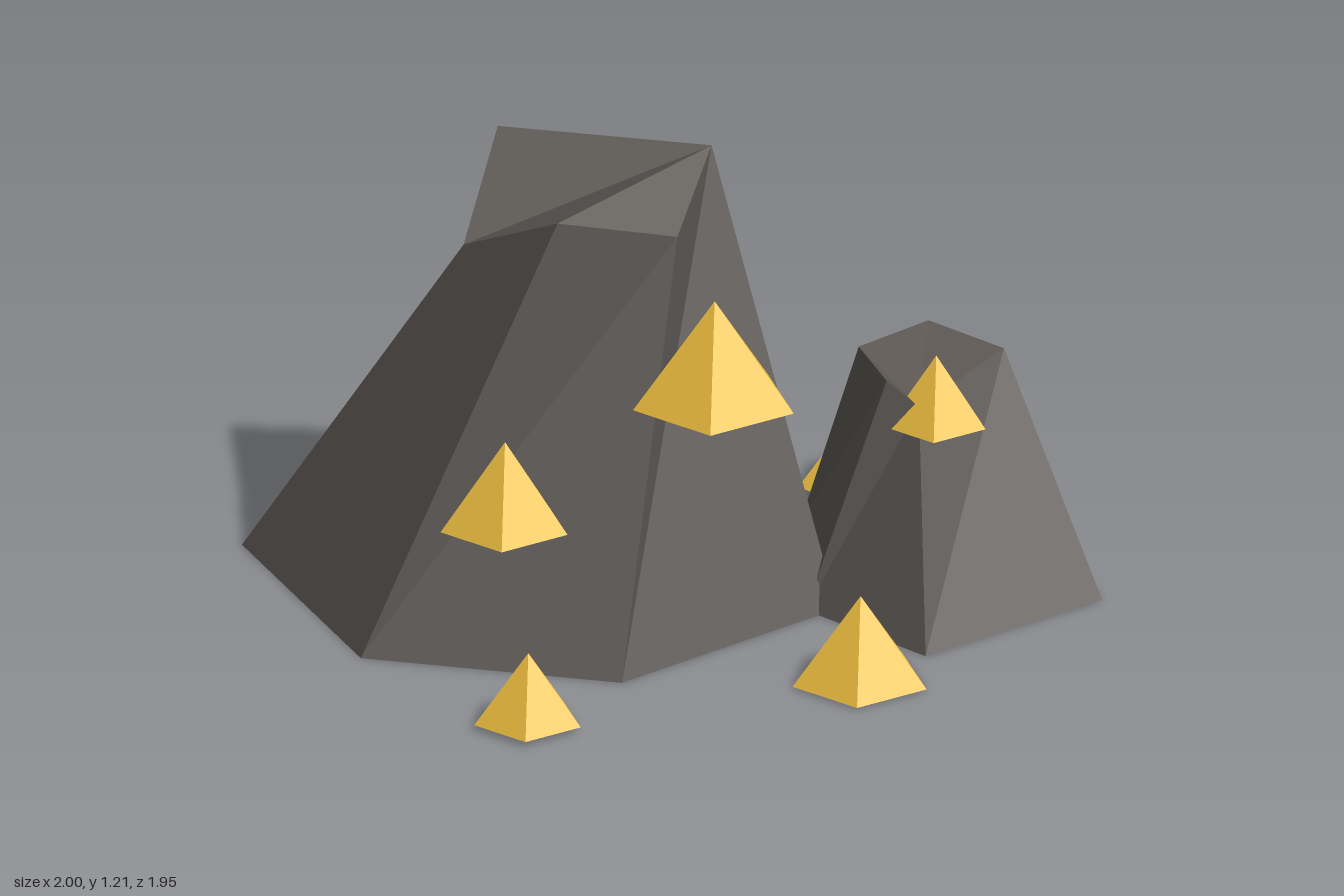
import * as THREE from 'three';

const rockMaterial = new THREE.MeshStandardMaterial({ color: 0x5c5753, flatShading: true });
const crystalMaterial = new THREE.MeshStandardMaterial({ color: 0xf0c040, flatShading: true });

// Faceted rock: a ground ring [x, z] joined to an uneven top ring [x, y, z],
// both clockwise from above. The cap fans out from one top corner.
function makeRock(name, base, top, fanCorner) {
  const n = base.length;
  const b = base.map(([x, z]) => [x, 0, z]);
  const points = [];
  const tri = (...corners) => corners.forEach((c) => points.push(...c));
  for (let i = 0; i < n; i++) {
    const j = (i + 1) % n;
    tri(b[j], b[i], top[i]);
    tri(b[j], top[i], top[j]);
  }
  for (let k = 1; k < n - 1; k++) {
    tri(top[fanCorner], top[(fanCorner + k + 1) % n], top[(fanCorner + k) % n]);
    tri(b[0], b[k], b[k + 1]);
  }
  const geometry = new THREE.BufferGeometry();
  geometry.setAttribute('position', new THREE.Float32BufferAttribute(points, 3));
  geometry.computeVertexNormals();
  const mesh = new THREE.Mesh(geometry, rockMaterial);
  mesh.name = name;
  return mesh;
}

// Five-sided crystal with one corner pointing to the back
function makeCrystal([x, y, z, radius, height], index) {
  const geometry = new THREE.ConeGeometry(radius, height, 5);
  geometry.rotateY(Math.PI);
  const mesh = new THREE.Mesh(geometry, crystalMaterial);
  mesh.position.set(x, y + height / 2, z);
  mesh.name = `crystal${index + 1}`;
  return mesh;
}

export function createModel() {
  const model = new THREE.Group();
  model.name = 'crystalRocks';

  // Tall rock
  model.add(makeRock('largeRock',
    [[-0.86, -0.84], [-0.03, -0.98], [0.35, -0.33], [0.25, 0.39], [-0.5, 0.48], [-1, -0.04]],
    [[-0.5, 1.0, -0.3], [-0.24, 1.2, -0.53], [0.12, 0.95, -0.41],
      [0.16, 1.21, -0.09], [-0.1, 1.09, 0.14], [-0.42, 1.17, 0.04]], 3));

  // Low rock leaning against it
  model.add(makeRock('smallRock',
    [[0.46, -0.12], [1, 0.12], [0.88, 0.73], [0.28, 0.78], [0.175, 0.35]],
    [[0.45, 0.65, 0.19], [0.69, 0.66, 0.166], [0.79, 0.635, 0.385],
      [0.455, 0.58, 0.48], [0.39, 0.65, 0.42]], 3));

  // Crystals: x, base height, z, radius, height
  const crystals = new THREE.Group();
  crystals.name = 'crystals';
  [
    [-0.86, 0.015, 0.57, 0.151, 0.195],
    [-0.69, 0.405, 0.195, 0.18, 0.245],
    [-0.15, 0.715, 0.4, 0.228, 0.295],
    [0.18, 0.505, -0.515, 0.186, 0.24],
    [0.75, 0.01, -0.265, 0.172, 0.22],
    [0.045, 0.005, 0.82, 0.19, 0.245],
    [0.52, 0.515, 0.465, 0.142, 0.195],
  ].forEach((spec, i) => crystals.add(makeCrystal(spec, i)));
  model.add(crystals);

  return model;
}
